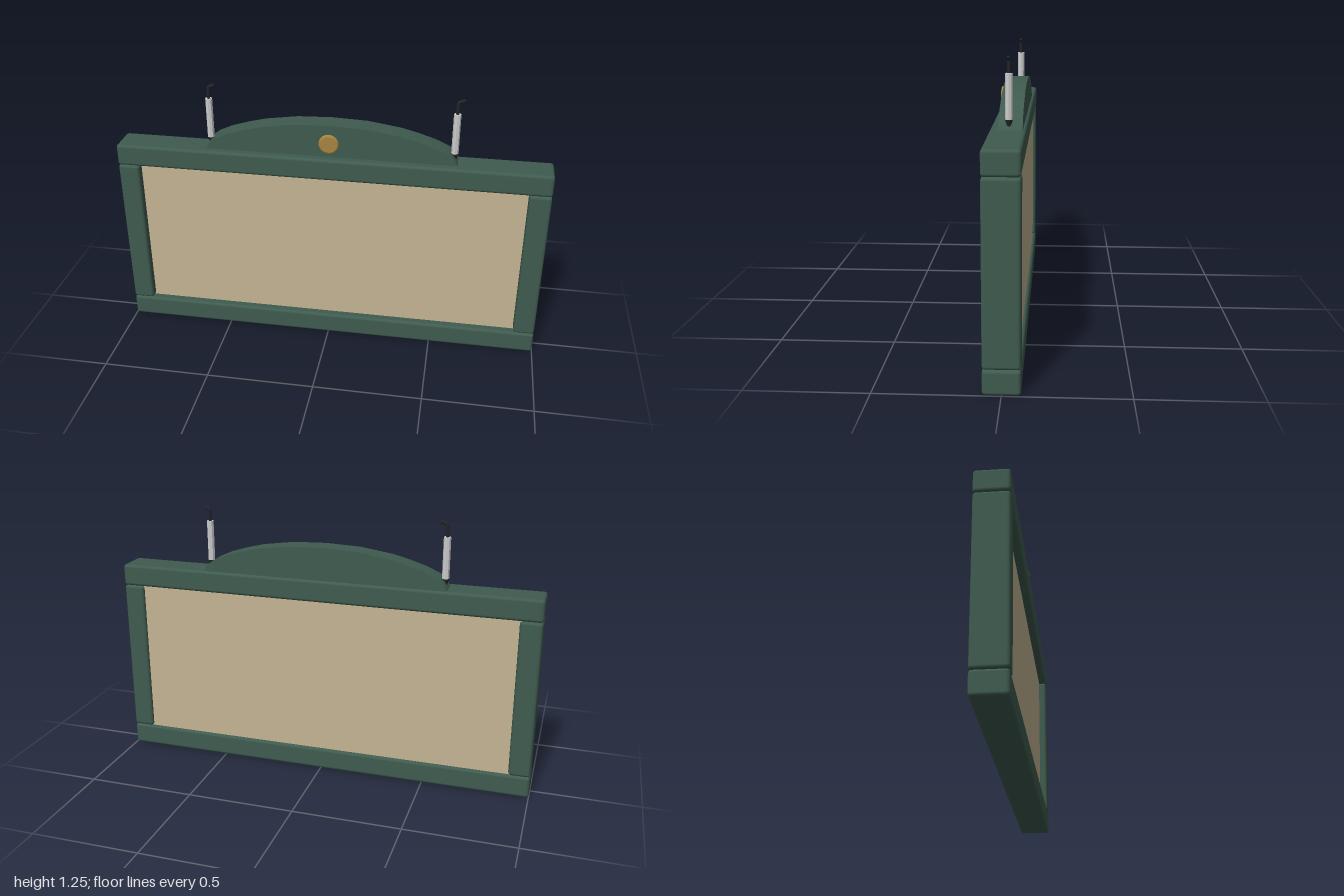
import * as THREE from 'three';
import { RoundedBoxGeometry } from 'three/addons/geometries/RoundedBoxGeometry.js';
import { toCreasedNormals } from 'three/addons/utils/BufferGeometryUtils.js';

const paint = (color, flatShading = false) => new THREE.MeshStandardMaterial({ color, flatShading });

export function createModel() {
  const model = new THREE.Group();
  const green = paint(0x3f5b4f);
  const tan = paint(0xc4b493);
  const brass = paint(0xa98442);
  const steel = paint(0xcccccc, true);
  const black = paint(0x222426, true);

  const add = (parent, name, geometry, material, x = 0, y = 0, z = 0) => {
    const mesh = new THREE.Mesh(geometry, material);
    mesh.name = name;
    mesh.position.set(x, y, z);
    parent.add(mesh);
    return mesh;
  };

  // Frame: two full-width rails with posts between them
  const depth = 0.15;
  const railGeometry = new RoundedBoxGeometry(2, 0.103, depth, 2, 0.014);
  const postGeometry = new RoundedBoxGeometry(0.1, 0.744, depth, 2, 0.014);
  add(model, 'bottomRail', railGeometry, green, 0, 0.0515);
  add(model, 'topRail', railGeometry, green, 0, 0.8985);
  add(model, 'leftPost', postGeometry, green, 0.95, 0.475);
  add(model, 'rightPost', postGeometry, green, -0.95, 0.475);

  // Board tucked into the frame, set deeper at the front than at the back
  add(model, 'board', new THREE.BoxGeometry(1.84, 0.79, 0.098), tan, 0, 0.475, -0.0115);

  // Arched crest, mirrored from one half of its outline
  const half = [
    [0.58, 0.945], [0.557, 0.984], [0.53, 1.003], [0.47, 1.03],
    [0.39, 1.055], [0.31, 1.075], [0.16, 1.097],
  ];
  const outline = [
    ...half, [0, 1.103],
    ...half.slice().reverse().map(([x, y]) => [-x, y]),
  ].map(([x, y]) => new THREE.Vector2(x, y));
  const crestGeometry = new THREE.ExtrudeGeometry(new THREE.Shape(outline), { depth: 0.099, bevelEnabled: false });
  add(model, 'crest', toCreasedNormals(crestGeometry, 0.6), green, 0, 0, -0.062);

  // Round medallion with a bevelled rim
  const rim = [[0, 0], [0.038, 0], [0.044, 0.003], [0.046, 0.0085], [0.044, 0.014], [0.038, 0.017], [0, 0.017]]
    .map(([x, y]) => new THREE.Vector2(x, y));
  const medallionGeometry = toCreasedNormals(new THREE.LatheGeometry(rim, 28), 0.4);
  add(model, 'medallion', medallionGeometry, brass, 0, 1.02, 0.043).rotation.x = Math.PI / 2;

  // Hangers: tapered foot, rod and a hook bent to the same side on both
  const hookPath = new THREE.CurvePath();
  const bends = [[0, 1.17], [0, 1.234], [0.025, 1.245]].map(([x, y]) => new THREE.Vector3(x, y, 0));
  hookPath.add(new THREE.LineCurve3(bends[0], bends[1]));
  hookPath.add(new THREE.LineCurve3(bends[1], bends[2]));
  for (const side of [1, -1]) {
    const hanger = new THREE.Group();
    hanger.name = side > 0 ? 'leftHanger' : 'rightHanger';
    hanger.position.set(side * 0.56, 0, -0.006);
    add(hanger, 'hangerFoot', new THREE.CylinderGeometry(0.016, 0.008, 0.03, 8), black, 0, 0.978);
    add(hanger, 'hangerRod', new THREE.CylinderGeometry(0.0165, 0.0165, 0.187, 8), steel, 0, 1.0865);
    add(hanger, 'hangerHook', new THREE.TubeGeometry(hookPath, 12, 0.0075, 8), black);
    // Cap at the hook's tip
    add(hanger, 'hookTip', new THREE.SphereGeometry(0.0075, 8, 6), black, 0.025, 1.245);
    model.add(hanger);
  }

  return model;
}
